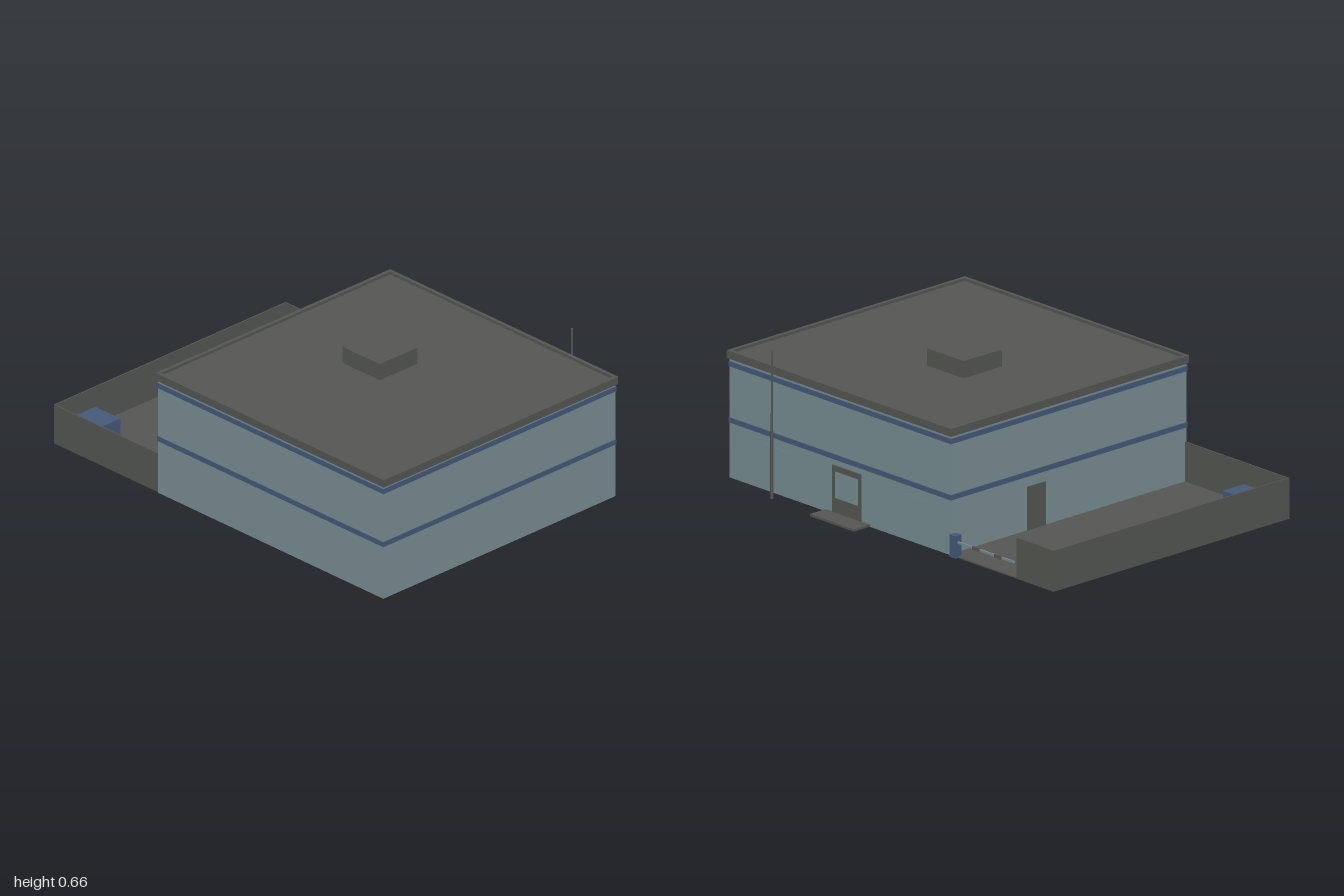
import * as THREE from 'three';

const mat = (name, color) => Object.assign(new THREE.MeshStandardMaterial({ color }), { name });

export function createModel() {
  const wall = mat('wall blue grey', 0x7b9096);
  const grey = mat('dark grey', 0x565854);
  const blue = mat('trim blue', 0x465b7b);
  const root = new THREE.Group();
  root.name = 'building';

  // Box given by its min and max on each axis
  const box = (name, m, x0, x1, y0, y1, z0, z1) => {
    const mesh = new THREE.Mesh(new THREE.BoxGeometry(x1 - x0, y1 - y0, z1 - z0), m);
    mesh.position.set((x0 + x1) / 2, (y0 + y1) / 2, (z0 + z1) / 2);
    mesh.name = name;
    root.add(mesh);
    return mesh;
  };

  // Rectangular ring lying flat, open in the middle
  const ring = (name, m, x0, x1, y0, y1, z0, z1, t) => {
    const rect = (P, a, b, c, d) => new P([[a, c], [b, c], [b, d], [a, d]].map(p => new THREE.Vector2(...p)));
    const shape = rect(THREE.Shape, x0, x1, -z1, -z0);
    shape.holes.push(rect(THREE.Path, x0 + t, x1 - t, -z1 + t, -z0 - t));
    const geo = new THREE.ExtrudeGeometry(shape, { depth: y1 - y0, bevelEnabled: false });
    geo.rotateX(-Math.PI / 2).translate(0, y0, 0);
    const mesh = new THREE.Mesh(geo, m);
    mesh.name = name;
    root.add(mesh);
  };

  // Main block with its two blue bands
  const [X0, X1, Z0, Z1] = [-0.367, 0.99, -0.638, 0.718];
  box('mainBlock', wall, X0, X1, 0, 0.535, Z0, Z1);
  for (const y of [0.245, 0.495])
    ring('trimBand', blue, X0 - 0.004, X1 + 0.003, y, y + 0.023, Z0 - 0.003, Z1 + 0.003, 0.01);

  // Roof slab, parapet and rooftop unit
  box('roof', grey, -0.37, 0.995, 0.53, 0.552, -0.64, 0.72);
  ring('parapet', grey, -0.375, 1, 0.53, 0.565, -0.645, 0.725, 0.016);
  box('rooftopUnit', grey, 0.085, 0.31, 0.55, 0.628, -0.14, 0.08);

  // Window panes on the back wall
  for (const [x, y] of [[0.69, 0.365], [0.33, 0.365], [-0.16, 0.365], [0.69, 0.08], [-0.16, 0.08]])
    box('window', wall, x - 0.08, x + 0.08, y, y + 0.125, Z0 - 0.001, Z0 + 0.003);

  // Main entrance: frame, glass, lower panel and doorstep
  const [dx0, dx1] = [0.18, 0.355];
  for (const x of [dx0, dx1 - 0.015]) box('doorJamb', grey, x, x + 0.015, 0, 0.22, Z0 - 0.006, Z0 + 0.002);
  box('doorHead', grey, dx0 + 0.015, dx1 - 0.015, 0.195, 0.22, Z0 - 0.006, Z0 + 0.002);
  box('doorGlass', wall, dx0 + 0.015, dx1 - 0.015, 0.075, 0.195, Z0 - 0.002, Z0 + 0.002);
  box('doorPanel', grey, dx0 + 0.015, dx1 - 0.015, 0, 0.075, Z0 - 0.004, Z0 + 0.002);
  box('doorstep', grey, 0.13, 0.4, 0, 0.01, -0.73, Z0);

  // Side door into the yard
  box('sideDoor', grey, X0 - 0.004, X0 + 0.002, 0, 0.2, -0.2, -0.095);

  // Yard floor and enclosing walls
  box('yardFloor', grey, -1, X0, 0, 0.006, -0.64, 0.715);
  box('yardSideWall', grey, -1, -0.994, 0, 0.182, -0.64, 0.715);
  box('yardFrontWall', grey, -0.994, X0, 0.006, 0.182, 0.709, 0.715);
  box('yardBackWall', grey, -0.994, -0.77, 0.006, 0.182, -0.64, -0.634);
  box('yardContainer', blue, -0.95, -0.8, 0.006, 0.12, 0.52, 0.643);

  // Gate barrier
  box('barrierPost', blue, -0.412, -0.378, 0, 0.1, -0.655, -0.62);
  box('barrierArm', wall, -0.758, -0.412, 0.064, 0.074, -0.642, -0.636);
  for (const x of [-0.66, -0.525]) box('barrierStripe', grey, x - 0.022, x + 0.022, 0.062, 0.076, -0.644, -0.634);

  // Stepped flagpole behind the building
  for (const [r, y0, y1] of [[0.007, 0, 0.3], [0.0055, 0.3, 0.38], [0.0045, 0.38, 0.655]]) {
    const pole = new THREE.Mesh(new THREE.CylinderGeometry(r, r, y1 - y0, 10), grey);
    pole.position.set(0.673, (y0 + y1) / 2, -0.692);
    pole.name = 'pole';
    root.add(pole);
  }
  return root;
}
